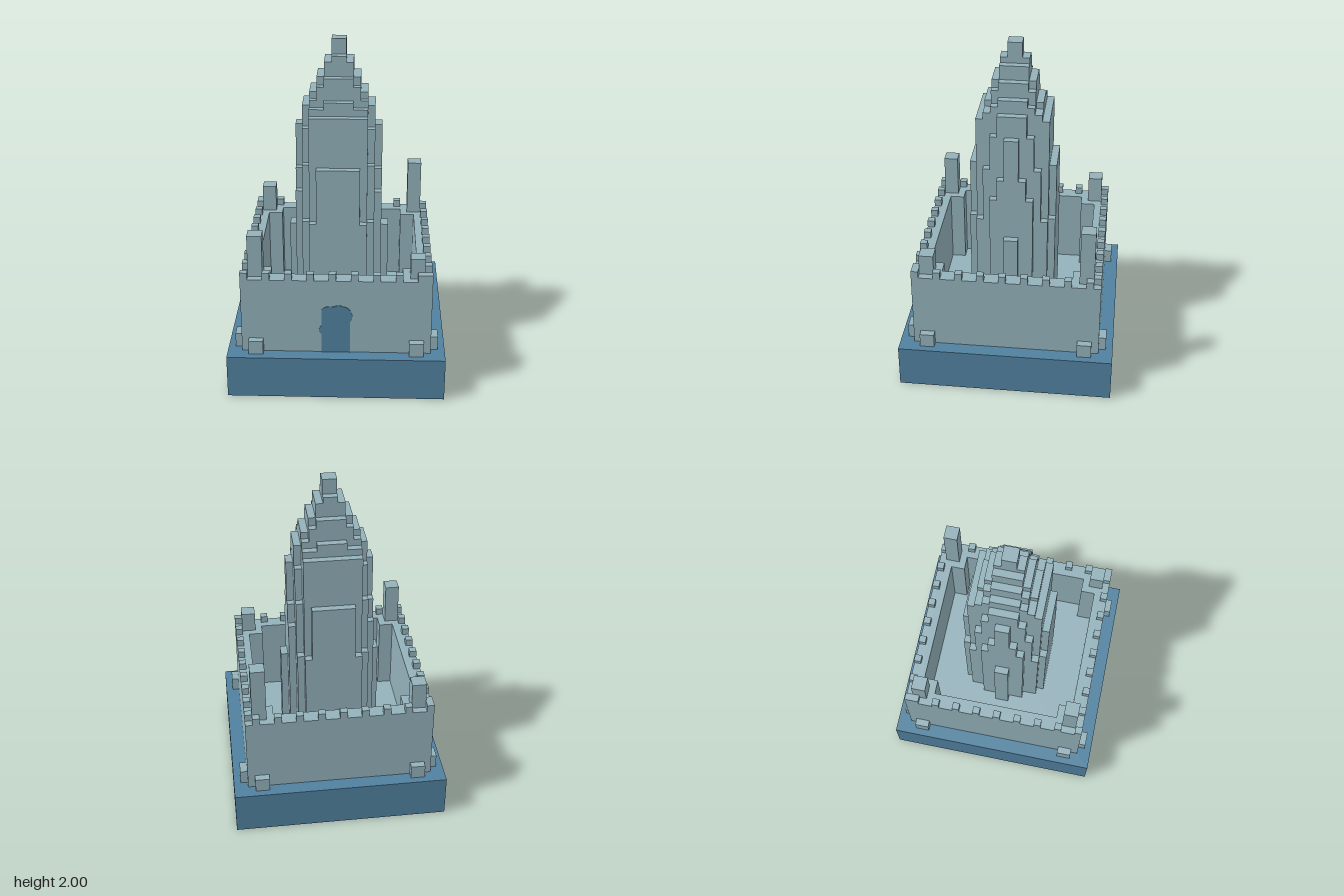
import * as THREE from 'three';

const U = 0.0424;      // grid unit
const BASE = 0.26;     // top of the plinth
const WALL = 0.725;    // top of the curtain wall

export function createModel() {
  const model = new THREE.Group();
  const stone = new THREE.MeshStandardMaterial({ color: 0x93b1ba });
  stone.name = 'pale stone';
  const blue = new THREE.MeshStandardMaterial({ color: 0x50819f });
  blue.name = 'blue';

  const group = (name) => {
    const g = new THREE.Group();
    g.name = name;
    model.add(g);
    return g;
  };

  // box given by its minimum and maximum corners
  const block = (parent, name, mat, x0, x1, y0, y1, z0, z1) => {
    const mesh = new THREE.Mesh(new THREE.BoxGeometry(x1 - x0, y1 - y0, z1 - z0), mat);
    mesh.position.set((x0 + x1) / 2, (y0 + y1) / 2, (z0 + z1) / 2);
    mesh.name = name;
    parent.add(mesh);
  };

  // plinth and courtyard floor
  block(model, 'plinth', blue, -0.635, 0.635, 0, BASE, -0.635, 0.635);
  block(model, 'courtyardFloor', stone, -11 * U, 11 * U, BASE, BASE + 0.006, -11 * U, 11 * U);

  // curtain walls
  const walls = group('curtainWalls');
  const o = 13 * U, n = 11 * U;
  for (const s of [-1, 1]) {
    const lo = s < 0 ? -o : n, hi = s < 0 ? -n : o;
    block(walls, 'crossWall', stone, -o, o, BASE, WALL, lo, hi);
    block(walls, 'sideWall', stone, lo, hi, BASE, WALL, -n, n);
  }

  // merlons along the outer edge of each wall
  const merlons = group('merlons');
  for (const e of [-13, 12]) {
    for (let i = -13; i <= 11; i += 3)
      block(merlons, 'merlon', stone, i * U, (i + 1) * U, WALL, WALL + U, e * U, (e + 1) * U);
    for (let i = -12; i <= 12; i += 3)
      block(merlons, 'merlon', stone, e * U, (e + 1) * U, WALL, WALL + U, i * U, (i + 1) * U);
  }

  // corner piers with turrets of differing height and low buttresses
  const corners = group('cornerTurrets');
  for (const [sx, sz, top] of [[-1, 1, 0.98], [1, -1, 1.065], [1, 1, 0.85], [-1, -1, 0.89]]) {
    const at = (name, cx, cz, wx, wz, y0, y1) =>
      block(corners, name, stone, (sx * cx - wx / 2) * U, (sx * cx + wx / 2) * U, y0, y1,
        (sz * cz - wz / 2) * U, (sz * cz + wz / 2) * U);
    at('cornerPier', 11, 11, 4, 4, BASE, WALL);
    at('turret', 11, 11, 2, 2, WALL, top);
    at('buttress', 13.5, 11, 1, 2, BASE, BASE + 2 * U);
    at('buttress', 11, 13.5, 2, 1, BASE, BASE + 2 * U);
  }

  // stepped central tower: half width, half depth, top height
  const tower = group('centralTower');
  const tiers = [
    [7, 1, 0.85], [6, 1, 1.49], [6, 2, 1.23], [6, 3, 1.1], [4, 6, 0.94], [3, 6, 1.28],
    [5, 5, 0.94], [5, 4, 1.28], [5, 3, 1.49], [5, 2, 1.62], [4, 5, 1.58], [4, 4, 1.62],
    [4, 3, 1.66], [4, 2, 1.7], [2, 4, 1.66], [3, 3, 1.74], [3, 2, 1.79], [2, 3, 1.79],
    [2, 2, 1.875], [1, 2, 1.91], [1, 1, 2.0],
  ];
  for (const [a, b, top] of tiers)
    block(tower, 'towerTier', stone, -a * U, a * U, BASE, top, -b * U, b * U);

  // painted gate with a lumpy arched outline
  const gate = new THREE.Shape();
  gate.moveTo(-0.085, BASE);
  gate.lineTo(0.08, BASE);
  gate.lineTo(0.08, 0.46);
  gate.quadraticCurveTo(0.105, 0.49, 0.085, 0.53);
  gate.quadraticCurveTo(0.07, 0.56, 0.04, 0.56);
  gate.quadraticCurveTo(0.015, 0.58, -0.01, 0.56);
  gate.quadraticCurveTo(-0.06, 0.57, -0.085, 0.54);
  gate.lineTo(-0.085, 0.435);
  gate.quadraticCurveTo(-0.115, 0.405, -0.085, 0.38);
  const gateMesh = new THREE.Mesh(
    new THREE.ExtrudeGeometry(gate, { depth: 0.004, bevelEnabled: false, curveSegments: 6 }), blue);
  gateMesh.position.z = o;
  gateMesh.name = 'gate';
  model.add(gateMesh);

  // small pale studs under the plinth
  const studs = group('undersideStuds');
  for (const x of [-0.53, 0.53]) for (const z of [-0.53, 0.53]) {
    const stud = new THREE.Mesh(new THREE.CircleGeometry(0.012, 8), stone);
    stud.rotation.x = Math.PI / 2;
    stud.position.set(x, -0.001, z);
    stud.name = 'stud';
    studs.add(stud);
  }
  return model;
}
